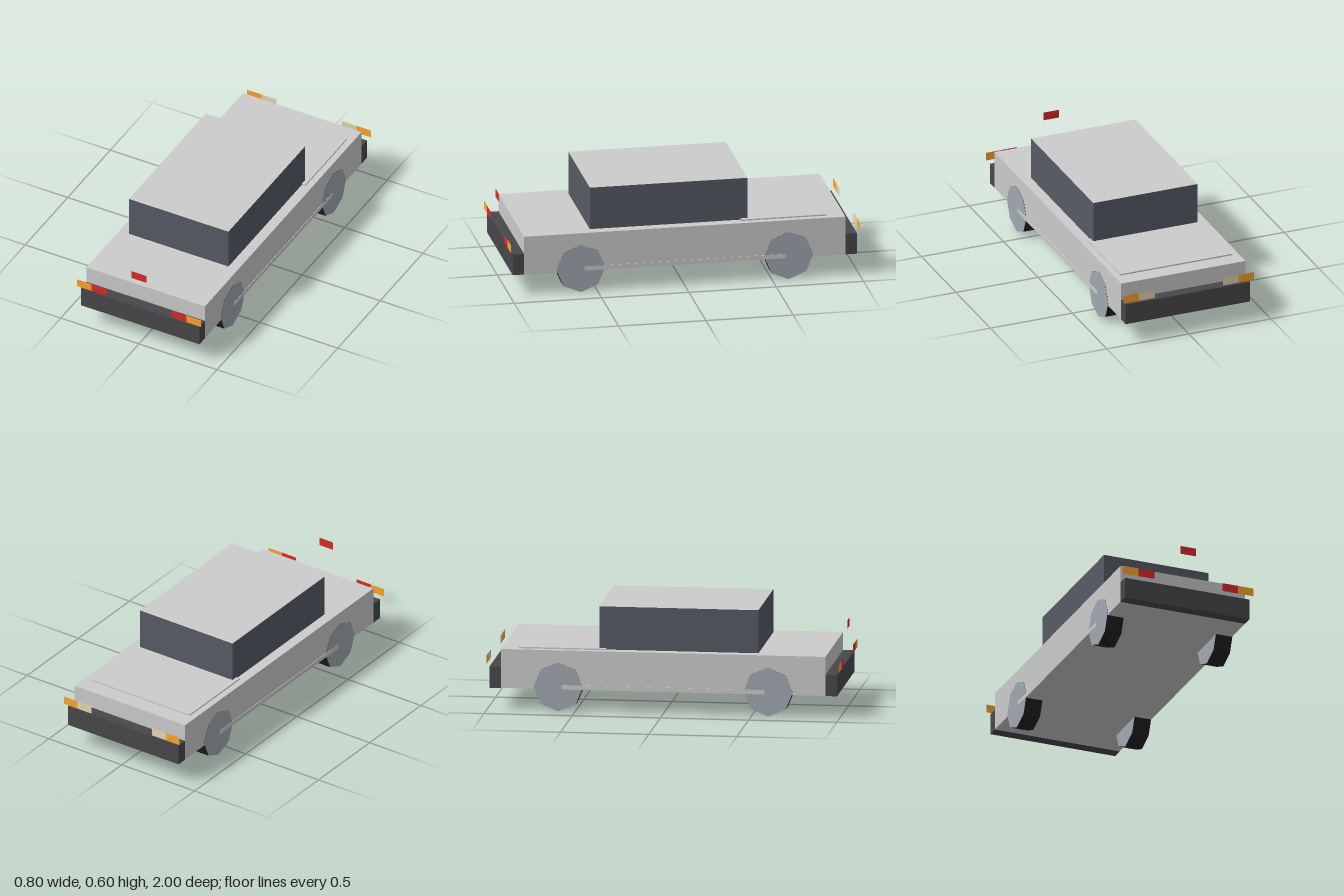
import * as THREE from 'three';

const mat = (color, side = THREE.FrontSide) =>
  new THREE.MeshStandardMaterial({ color, side, flatShading: true });

export function createModel() {
  const car = new THREE.Group();
  car.name = 'car';

  const paint = mat(0xcccccc);
  const glass = mat(0x575a66);
  const bumper = mat(0x48484c);
  const tyre = mat(0x222226);
  const hub = mat(0xa0a8b0);
  const red = mat(0xdd2a2a, THREE.DoubleSide);
  const amber = mat(0xfca72c, THREE.DoubleSide);
  const cream = mat(0xe8d8b0, THREE.DoubleSide);

  const add = (name, geometry, material, x, y, z) => {
    const mesh = new THREE.Mesh(geometry, material);
    mesh.name = name;
    mesh.position.set(x, y, z);
    car.add(mesh);
    return mesh;
  };

  // Box given by its lower and upper corners
  const box = (name, material, [x0, y0, z0], [x1, y1, z1]) =>
    add(name, new THREE.BoxGeometry(x1 - x0, y1 - y0, z1 - z0), material,
      (x0 + x1) / 2, (y0 + y1) / 2, (z0 + z1) / 2);

  // Body, glazed cabin with painted roof, and raised lid
  box('body', paint, [-0.379, 0.126, -0.92], [0.379, 0.349, 0.92]);
  box('cabin', [glass, glass, paint, glass, glass, glass],
    [-0.318, 0.349, -0.37], [0.318, 0.595, 0.532]);
  box('lid', paint, [-0.341, 0.345, -0.822], [0.341, 0.357, -0.33]);

  // Flat lamp panel facing the given end
  const lamp = (name, material, x, y, w, end) => {
    const mesh = add(name, new THREE.PlaneGeometry(w, 0.048), material, x, y, end);
    if (end < 0) mesh.rotation.y = Math.PI;
  };

  for (const end of [1, -1]) {
    const place = end > 0 ? 'front' : 'rear';
    box(place + 'Bumper', bumper,
      [-0.379, 0.125, end > 0 ? 0.92 : -0.985], [0.379, 0.247, end > 0 ? 0.985 : -0.92]);

    for (const side of [1, -1]) {
      // Outer amber lamp with an inner red or cream lamp
      lamp(place + 'AmberLamp', amber, side * 0.35, 0.288, 0.095, end);
      lamp(place + 'InnerLamp', end > 0 ? red : cream, side * 0.255, 0.288, 0.096, end);

      // Eight-sided wheel
      const wheel = new THREE.CylinderGeometry(0.14, 0.14, 0.1, 8).rotateZ(Math.PI / 2);
      add(place + 'Wheel', wheel, [tyre, hub, hub], side * 0.3305, 0.14, end * 0.595);
    }
  }
  lamp('highLamp', red, 0, 0.473, 0.096, 1);

  // Thin trim strip along each side
  for (const side of [1, -1])
    add('sideTrim', new THREE.BoxGeometry(0.012, 0.025, 1.15), paint, side * 0.376, 0.1385, 0);

  return car;
}
